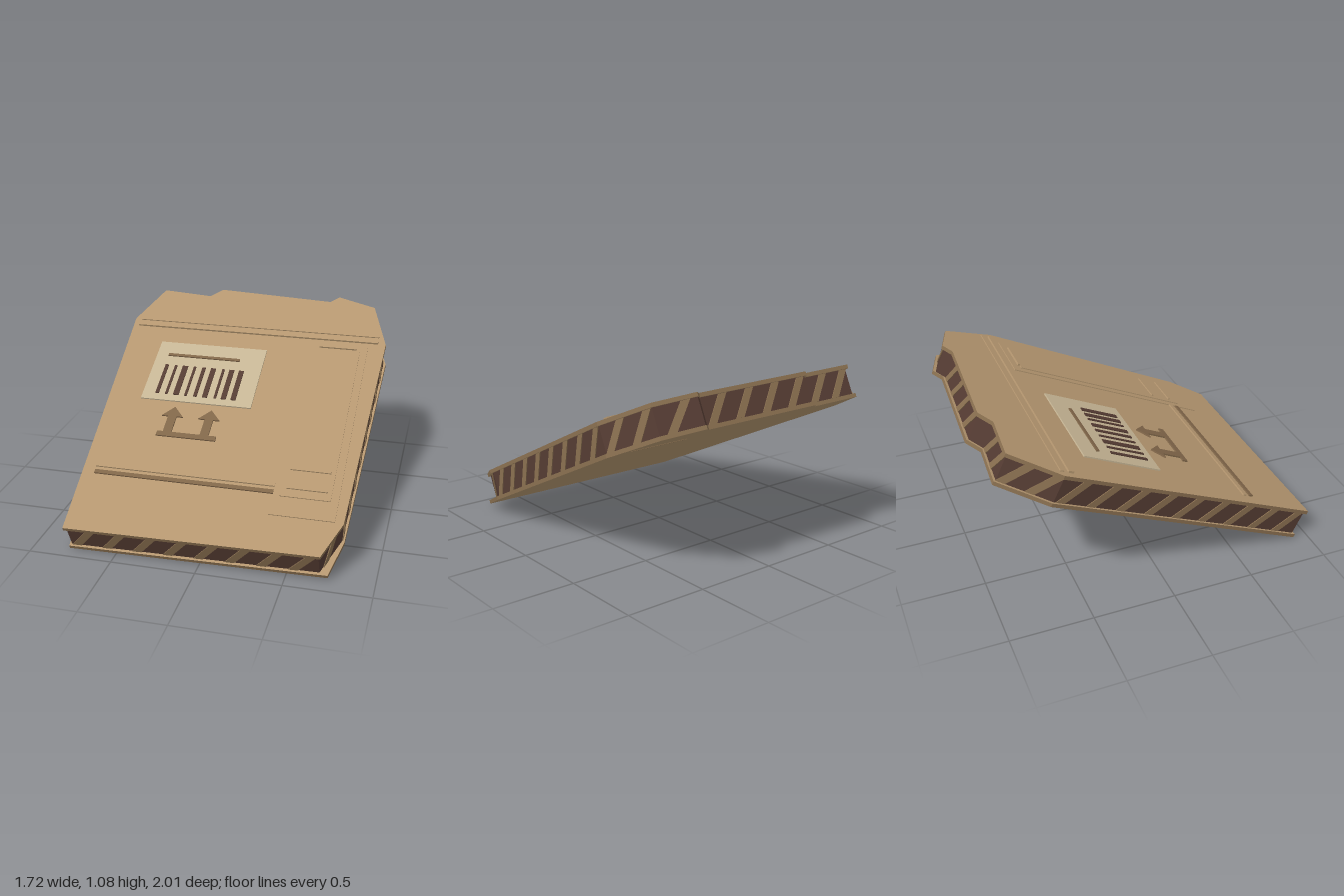
import * as THREE from 'three';

const mat = (name, color, extra = {}) => Object.assign(new THREE.MeshStandardMaterial({ color, ...extra }), { name });

export function createModel() {
  const cardboard = mat('cardboard', 0xb59770);
  const edge = mat('cardboard edge', 0x8a7050);
  const core = mat('dark core', 0x553c33);
  const paper = mat('label paper', 0xc6b594);
  const print = mat('brown print', 0x806649);
  const ink = mat('dark ink', 0x553c33);

  const root = new THREE.Group();
  root.name = 'cardboardSheet';
  const slab = new THREE.Group();
  slab.name = 'tiltedSlab';
  const tilt = THREE.MathUtils.degToRad(25);
  slab.rotation.x = tilt;
  slab.position.y = 0.535;
  root.add(slab);

  const add = (name, geo, material) => {
    const m = new THREE.Mesh(geo, material);
    m.name = name;
    slab.add(m);
    return m;
  };

  // Torn outline as (x, z), from front left round the right side to the back
  const outline = [
    [-0.785, 1.052], [0.70, 1.024], [0.795, 0.792], [0.855, -0.642], [0.74, -0.987], [0.49, -1.068],
    [0.436, -1.015], [-0.325, -1.062], [-0.40, -0.987], [-0.73, -1.015], [-0.862, -0.709],
  ];
  const bottomOutline = outline.map(p => [...p]);
  bottomOutline[1] = [0.735, 1.024];
  const coreOutline = outline.map(([x, z]) => [x * 0.983, z * 0.985]);

  // Flat slab lying between y0 and y1
  const sheet = (points, y0, y1) => {
    const shape = new THREE.Shape(points.map(([x, z]) => new THREE.Vector2(x, -z)));
    return new THREE.ExtrudeGeometry(shape, { depth: y1 - y0, bevelEnabled: false })
      .rotateX(-Math.PI / 2).translate(0, y0, 0);
  };
  add('topLiner', sheet(outline, 0.077, 0.1), [cardboard, edge]);
  add('core', sheet(coreOutline, -0.077, 0.077), core);
  add('bottomLiner', sheet(bottomOutline, -0.1, -0.077), [cardboard, edge]);

  // Slanted flutes along each wall
  const flute = new THREE.Shape([[-0.085, -0.076], [-0.03, -0.076], [0.085, 0.076], [0.03, 0.076]]
    .map(p => new THREE.Vector2(...p)));
  const fluteGeo = new THREE.ExtrudeGeometry(flute, { depth: 0.005, bevelEnabled: false });
  coreOutline.forEach(([x, z], i) => {
    const [x2, z2] = coreOutline[(i + 1) % coreOutline.length];
    const length = Math.hypot(x2 - x, z2 - z);
    if (length < 0.18) return;
    const count = Math.max(1, Math.round(length / 0.183));
    for (let k = 0; k < count; k++) {
      const t = (k + 0.5) / count;
      const m = add('flute', fluteGeo, edge);
      m.position.set(x + (x2 - x) * t, 0, z + (z2 - z) * t);
      m.rotation.y = Math.atan2(z - z2, x2 - x);
    }
  });

  // Plate on the top face; z is measured level and projected onto the slope
  const level = z => (z - 0.11 * Math.sin(tilt)) / Math.cos(tilt);
  const plate = (name, x0, x1, z0, z1, y0, h, material) => {
    const a = level(z0), b = level(z1);
    const m = add(name, new THREE.BoxGeometry(x1 - x0, h, b - a), material);
    m.position.set((x0 + x1) / 2, y0 + h / 2, (a + b) / 2);
  };

  // Shipping label with a heading line and bars
  plate('label', -0.615, 0.10, -0.405, 0.06, 0.1, 0.009, paper);
  plate('labelLine', -0.535, -0.055, -0.307, -0.289, 0.109, 0.008, print);
  const bars = [[-0.521, 0.022], [-0.46, 0.016], [-0.397, 0.036], [-0.333, 0.016], [-0.272, 0.022],
    [-0.209, 0.032], [-0.142, 0.016], [-0.087, 0.032], [-0.024, 0.032]];
  for (const [x, w] of bars) plate('labelBar', x - w / 2, x + w / 2, -0.215, 0.015, 0.109, 0.006, ink);

  // Two upright arrows over a base line
  plate('arrowBase', -0.435, -0.06, 0.29, 0.322, 0.1, 0.009, print);
  for (const x of [-0.372, -0.137]) {
    const arrow = [[-0.027, 0.29], [0.027, 0.29], [0.027, 0.175], [0.068, 0.175], [0, 0.105], [-0.068, 0.175], [-0.027, 0.175]]
      .map(([dx, z]) => [x + dx, level(z)]);
    add('arrow', sheet(arrow, 0.1, 0.109), print);
  }

  // Fold ridges across the sheet
  plate('upperRidge', -0.82, 0.805, -0.565, -0.535, 0.1, 0.012, cardboard);
  plate('upperRidge', -0.82, 0.805, -0.61, -0.588, 0.1, 0.007, cardboard);
  plate('lowerRidge', -0.73, 0.365, 0.56, 0.58, 0.1, 0.009, cardboard);
  plate('lowerStripe', -0.725, 0.365, 0.603, 0.627, 0.1, 0.009, print);

  // Side flap with a raised inner panel and thin ridges
  plate('flap', 0.365, 0.745, -0.51, 0.76, 0.1, 0.006, cardboard);
  plate('flapPanel', 0.405, 0.70, -0.46, 0.64, 0.106, 0.006, cardboard);
  for (const z of [-0.468, 0.46, 0.585]) plate('flapRidge', 0.435, 0.675, z - 0.006, z + 0.006, 0.106, 0.014, cardboard);

  // Short crease underneath
  const crease = add('underCrease', new THREE.BoxGeometry(0.37, 0.004, 0.008), edge);
  crease.position.set(0.575, -0.101, -0.75);

  return root;
}
